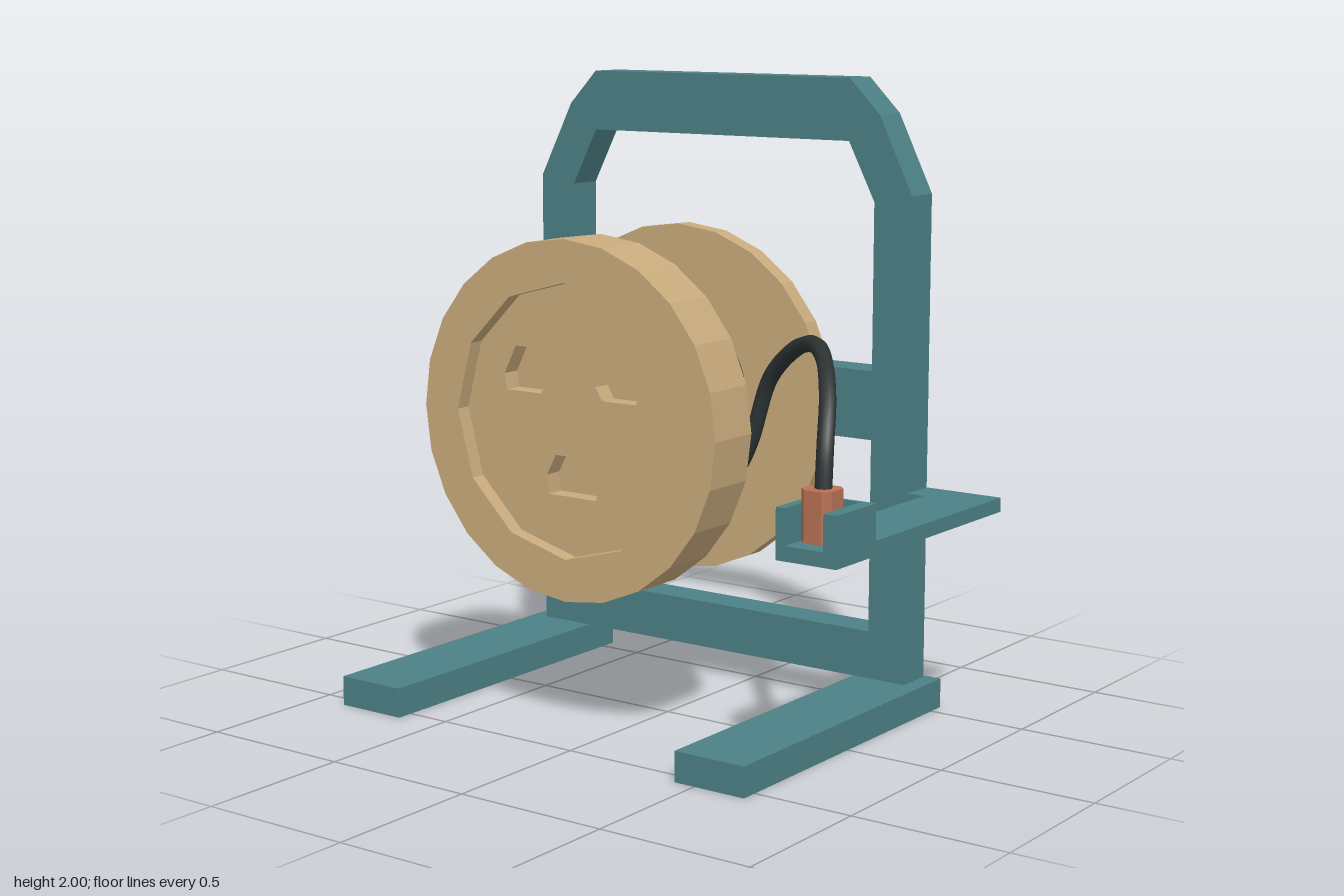
import * as THREE from 'three';

const mat = (color, flatShading = true) => new THREE.MeshStandardMaterial({ color, flatShading });
const CX = -0.105, CY = 0.98; // reel axis

// Closed 2D outline from points
const outline = (pts, Type = THREE.Shape) => new Type(pts.map(([x, y]) => new THREE.Vector2(x, y)));

// Regular polygon around the reel axis, one corner at the top
const ngon = (r, n) => Array.from({ length: n }, (_, i) => {
  const a = Math.PI / 2 + (i / n) * Math.PI * 2;
  return [CX + r * Math.cos(a), CY + r * Math.sin(a)];
});

// Plate in the xy plane between two z values, with optional holes
function plate(name, pts, z0, z1, material, holes = []) {
  const shape = outline(pts);
  shape.holes = holes.map((h) => outline(h, THREE.Path));
  const geo = new THREE.ExtrudeGeometry(shape, { depth: z1 - z0, bevelEnabled: false });
  geo.translate(0, 0, z0);
  const mesh = new THREE.Mesh(geo, material);
  mesh.name = name;
  return mesh;
}

// Box given by its limits on each axis
function box(name, [x0, x1], [y0, y1], [z0, z1], material) {
  const mesh = new THREE.Mesh(new THREE.BoxGeometry(x1 - x0, y1 - y0, z1 - z0), material);
  mesh.position.set((x0 + x1) / 2, (y0 + y1) / 2, (z0 + z1) / 2);
  mesh.name = name;
  return mesh;
}

function group(name, ...parts) {
  const g = new THREE.Group();
  g.name = name;
  g.add(...parts);
  return g;
}

export function createModel() {
  const teal = mat(0x4c8085), tan = mat(0xc8aa7c), copper = mat(0xb87154);
  const steel = mat(0x8c949a), rubber = mat(0x2c3232, false);

  // Stand: arched frame with a crossbar, on two long feet
  const arch = [[-0.835, 0.095], [0.62, 0.095], [0.62, 1.645], [0.5, 1.89], [0.39, 2],
    [-0.605, 2], [-0.71, 1.89], [-0.835, 1.645]];
  const lowerGap = [[-0.7, 0.25], [0.485, 0.25], [0.485, 0.87], [-0.7, 0.87]];
  const upperGap = [[-0.7, 1.09], [0.485, 1.09], [0.485, 1.62], [0.39, 1.805], [-0.605, 1.805], [-0.7, 1.62]];
  const stand = group('stand',
    plate('frame', arch, -0.54, -0.42, teal, [lowerGap, upperGap]),
    box('rightFoot', [-0.885, -0.645], [0, 0.095], [-0.555, 0.555], teal),
    box('leftFoot', [0.43, 0.675], [0, 0.095], [-0.555, 0.555], teal));

  // Side arm carrying a tray open at the front
  const arm = group('sideArm',
    box('armBracket', [0.62, 0.68], [0.67, 0.715], [-0.54, -0.42], teal),
    box('armPlate', [0.68, 0.885], [0.67, 0.715], [-0.54, 0.41], teal),
    box('trayInnerWall', [0.68, 0.71], [0.715, 0.825], [0.2, 0.41], teal),
    box('trayOuterWall', [0.84, 0.885], [0.715, 0.825], [0.2, 0.41], teal),
    box('trayBackWall', [0.71, 0.84], [0.715, 0.825], [0.2, 0.215], teal));

  // Reel: front wheel with a recessed face and three pockets, hub, back disc
  const pockets = [
    [[-0.38, 1.1], [-0.335, 1.19], [-0.235, 1.19], [-0.2, 1.13], [-0.235, 1.05], [-0.37, 1.05]],
    [[-0.025, 1.19], [0.135, 1.19], [0.16, 1.1], [0.125, 1.05], [0, 1.05], [-0.025, 1.09]],
    [[-0.18, 0.865], [-0.04, 0.865], [-0.01, 0.81], [-0.025, 0.74], [-0.21, 0.74], [-0.215, 0.8]],
  ];
  const rim = ngon(0.557, 24);
  const reel = group('reel',
    plate('wheelRim', rim, 0.335, 0.385, tan, [ngon(0.425, 12)]),
    plate('socketFace', rim, 0.275, 0.335, tan, pockets),
    plate('wheelBack', rim, 0.2, 0.275, tan),
    plate('hub', ngon(0.175, 16), -0.2, 0.2, tan),
    plate('backDisc', rim, -0.26, -0.2, tan),
    plate('axle', ngon(0.073, 12), -0.42, -0.26, steel));

  // Cable: four widening turns, then an arc over to the tray
  const path = [];
  const turns = 3.95, steps = 80;
  for (let i = 0; i <= steps; i++) {
    const t = i / steps, a = t * turns * Math.PI * 2, r = 0.29 + 0.04 * t;
    path.push(new THREE.Vector3(CX + r * Math.cos(a), CY + r * Math.sin(a), 0.155 - 0.31 * t));
  }
  for (const p of [[0.275, 1.08, -0.16], [0.4, 1.19, -0.11], [0.52, 1.225, -0.03], [0.62, 1.2, 0.07],
    [0.71, 1.11, 0.19], [0.755, 0.99, 0.27], [0.765, 0.84, 0.295]]) path.push(new THREE.Vector3(...p));
  const cable = new THREE.Mesh(
    new THREE.TubeGeometry(new THREE.CatmullRomCurve3(path), 320, 0.026, 8), rubber);
  cable.name = 'cable';

  // Plugs: a block at the reel end, a chamfered one standing in the tray
  const w = 0.052, c = 0.03;
  const trayPlug = plate('trayPlug', [[-w, -c], [-c, -w], [c, -w], [w, -c], [w, c], [c, w], [-c, w], [-w, c]],
    0, 0.155, copper);
  trayPlug.rotation.x = -Math.PI / 2;
  trayPlug.position.set(0.763, 0.715, 0.295);
  const reelPlug = box('reelPlug', [0.14, 0.23], [0.89, 0.98], [0.11, 0.2], copper);

  return group('cableReel', stand, arm, reel, cable, trayPlug, reelPlug);
}
